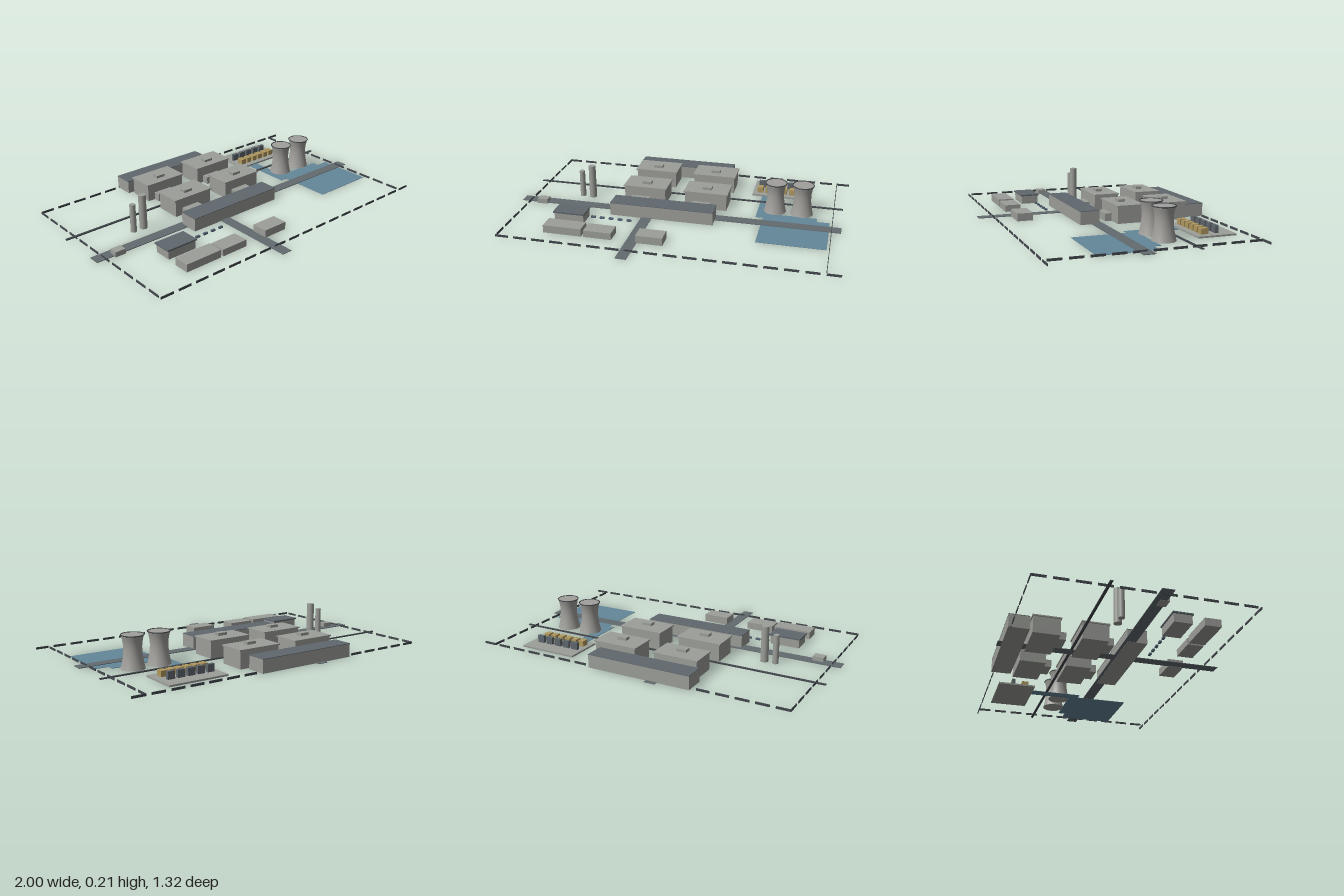
import * as THREE from 'three';

export function createModel() {
  const root = new THREE.Group();
  root.name = 'powerPlantSite';

  const mat = (name, color) => {
    const m = new THREE.MeshStandardMaterial({ color });
    m.name = name;
    return m;
  };
  const concrete = mat('concrete', 0x9c9e99);
  const asphalt = mat('asphalt', 0x646b70);
  const roofing = mat('darkRoofing', 0x5f676d);
  const water = mat('water', 0x64879a);
  const fenceMat = mat('fenceSteel', 0x43484d);
  const brass = mat('ochrePaint', 0xb0985f);
  const carPaint = mat('carPaint', 0x566575);
  const towerMat = mat('towerConcrete', 0xa09f9b);
  towerMat.side = THREE.DoubleSide;

  const group = (name, parent = root) => {
    const g = new THREE.Group();
    g.name = name;
    parent.add(g);
    return g;
  };
  // Box given by its extents on each axis
  const box = (name, material, x0, x1, y0, y1, z0, z1, parent = root) => {
    const m = new THREE.Mesh(new THREE.BoxGeometry(x1 - x0, y1 - y0, z1 - z0), material);
    m.position.set((x0 + x1) / 2, (y0 + y1) / 2, (z0 + z1) / 2);
    m.name = name;
    parent.add(m);
    return m;
  };

  // Cooling pond and intake channel
  box('coolingPond', water, 0.508, 0.905, 0, 0.002, -0.04, 0.297);
  box('pondInlet', water, 0.53, 0.828, 0, 0.002, -0.083, -0.04);
  box('intakeChannel', water, 0.465, 0.53, 0, 0.002, -0.335, -0.025);

  // Roads and rail line
  box('crossRoad', asphalt, -0.203, -0.139, 0.001, 0.004, -0.664, 0.66);
  box('mainRoad', asphalt, -1, 0.975, 0.001, 0.005, 0.013, 0.08);
  box('railLine', fenceMat, -1, 0.975, 0.001, 0.007, -0.25, -0.235);

  // Turbine halls: pale walls under dark flat roofs
  for (const [z0, z1] of [[-0.638, -0.52], [0.03, 0.147]]) {
    const hall = group('turbineHall');
    box('hallWalls', concrete, -0.396, 0.233, 0, 0.077, z0, z1, hall);
    box('hallRoof', roofing, -0.397, 0.234, 0.077, 0.08, z0 - 0.001, z1 + 0.001, hall);
  }

  // Four reactor buildings with roof slab, vent housing and front annex
  for (const x of [-0.238, 0.147]) {
    for (const z of [-0.422, -0.144]) {
      const reactor = group('reactorBuilding');
      reactor.position.set(x, 0, z);
      box('reactorWalls', concrete, -0.13, 0.13, 0, 0.1, -0.078, 0.078, reactor);
      box('reactorRoof', concrete, -0.137, 0.137, 0.1, 0.108, -0.083, 0.083, reactor);
      box('roofVent', concrete, -0.029, 0.029, 0.108, 0.124, -0.007, 0.033, reactor);
      box('annex', concrete, -0.083, 0.035, 0, 0.046, 0.078, 0.12, reactor);
    }
  }

  // Low service buildings
  for (const [x0, x1, h] of [[-0.7, -0.47, 0.046], [-0.455, -0.289, 0.041], [-0.146, 0.011, 0.046]]) {
    box('serviceBuilding', concrete, x0, x1, 0, h, 0.366, 0.462);
  }
  box('gatehouse', concrete, -0.893, -0.829, 0, 0.03, 0.043, 0.094);

  // Office with overhanging dark roof
  const office = group('office');
  box('officeWalls', concrete, -0.694, -0.514, 0, 0.051, 0.191, 0.298, office);
  box('officeRoof', roofing, -0.702, -0.508, 0.051, 0.06, 0.185, 0.304, office);

  // Parked cars
  for (let i = 0; i < 5; i++) {
    const x = -0.497 + i * 0.056;
    box('parkedCar', carPaint, x, x + 0.027, 0, 0.011, 0.203, 0.217);
  }

  // Chimney stacks
  for (const [x, r, h] of [[-0.655, 0.018, 0.17], [-0.588, 0.023, 0.21]]) {
    const stack = new THREE.Mesh(new THREE.CylinderGeometry(r * 0.95, r, h, 24), concrete);
    stack.position.set(x, h / 2, -0.085);
    stack.name = 'chimneyStack';
    root.add(stack);
  }

  // Cooling towers: waisted shell, dark rim, closed top
  const waist = 0.115, height = 0.188;
  const profile = [new THREE.Vector2(0, 0)];
  for (let i = 0; i <= 14; i++) {
    const y = (height * i) / 14;
    const k = y < waist ? (0.068 / 0.051) ** 2 - 1 : (0.063 / 0.051) ** 2 - 1;
    const t = y < waist ? (waist - y) / waist : (y - waist) / (height - waist);
    profile.push(new THREE.Vector2(0.051 * Math.sqrt(1 + k * t * t), y));
  }
  const shellGeo = new THREE.LatheGeometry(profile.slice(1), 32);
  for (const x of [0.567, 0.73]) {
    const tower = group('coolingTower');
    tower.position.set(x, 0, -0.142);
    const shell = new THREE.Mesh(shellGeo, towerMat);
    shell.name = 'towerShell';
    const rim = new THREE.Mesh(new THREE.TorusGeometry(0.063, 0.003, 6, 32), fenceMat);
    rim.rotation.x = Math.PI / 2;
    rim.position.y = height - 0.001;
    rim.name = 'towerRim';
    const cap = new THREE.Mesh(new THREE.CircleGeometry(0.062, 32), towerMat);
    cap.rotation.x = -Math.PI / 2;
    cap.position.y = height - 0.002;
    cap.name = 'towerTop';
    const base = new THREE.Mesh(new THREE.CircleGeometry(0.068, 32), towerMat);
    base.rotation.x = Math.PI / 2;
    base.position.y = 0.003;
    base.name = 'towerBase';
    tower.add(shell, rim, cap, base);
  }

  // Switchyard: pad with a row of switchgear and a row of transformers
  const yard = group('switchyard');
  box('yardPad', concrete, 0.4, 0.757, 0, 0.01, -0.564, -0.334, yard);
  for (let i = 0; i < 5; i++) {
    const x = 0.428 + i * 0.0605;
    box('switchgear', roofing, x, x + 0.043, 0.01, 0.053, -0.477, -0.457, yard);
  }
  for (let i = 0; i < 6; i++) {
    const x = 0.428 + i * 0.0505;
    box('transformer', brass, x, x + 0.035, 0.01, 0.043, -0.414, -0.371, yard);
  }

  // Perimeter fence panels
  const fence = group('fence');
  for (let i = 0; i < 18; i++) {
    const x = -0.946 + i * 0.1098;
    for (const z of [-0.622, 0.572]) {
      box('fencePanel', fenceMat, x, x + 0.078, 0, 0.013, z - 0.002, z + 0.002, fence);
    }
  }
  for (let i = 0; i < 11; i++) {
    const z = -0.624 + i * 0.1098;
    for (const x of [-0.946, 0.92]) {
      box('fencePanel', fenceMat, x - 0.002, x + 0.002, 0, 0.013, z, z + 0.078, fence);
    }
  }

  return root;
}
